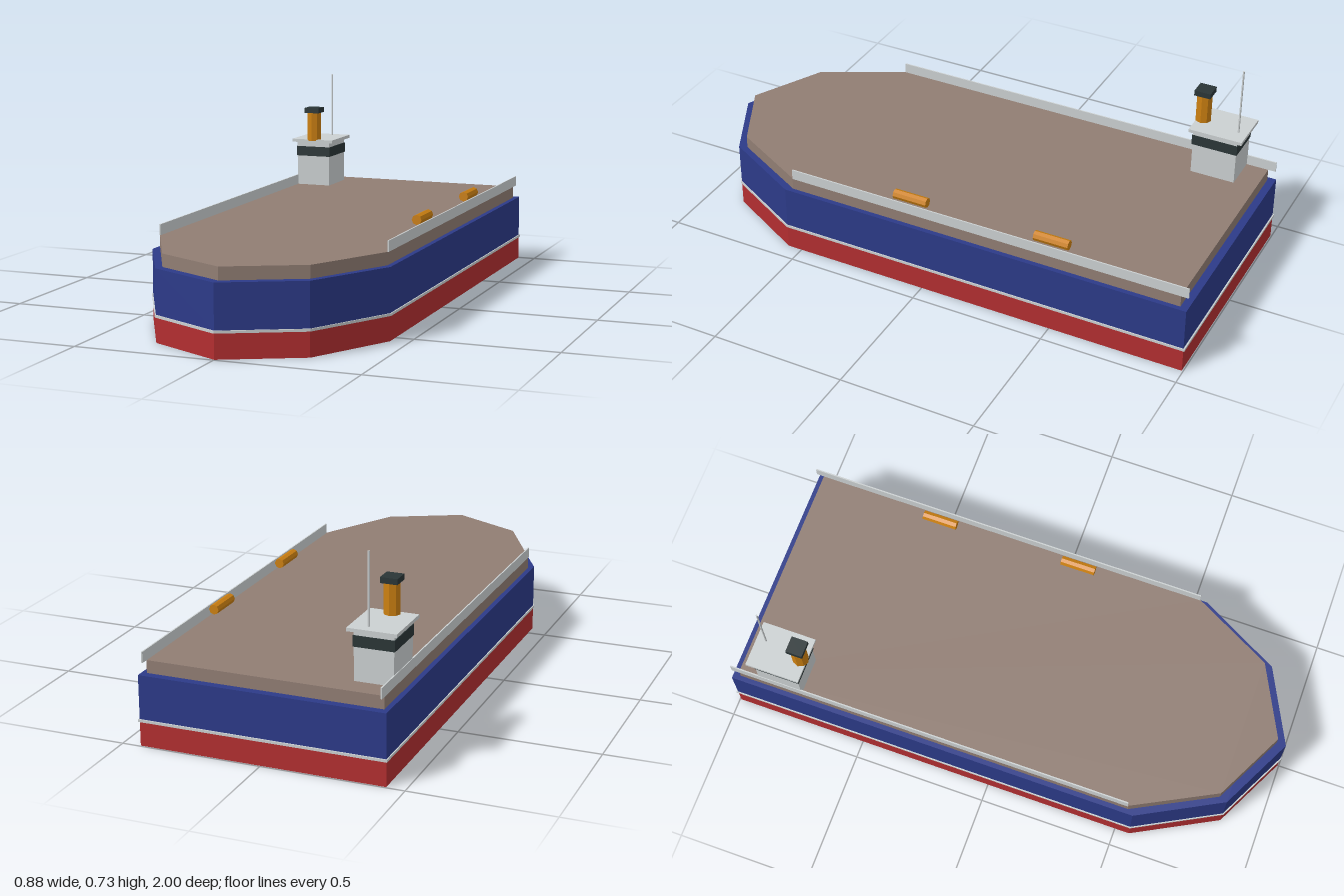
import * as THREE from 'three';

export function createModel() {
  const root = new THREE.Group();
  root.name = 'cargoShip';

  const mat = (name, color) => {
    const m = new THREE.MeshStandardMaterial({ color, flatShading: true });
    m.name = name;
    return m;
  };
  const red = mat('hullRed', 0xb22e30);
  const blue = mat('hullBlue', 0x2c3a88);
  const brown = mat('deckBrown', 0x907d73);
  const white = mat('paintWhite', 0xcbd0d1);
  const dark = mat('darkGrey', 0x2a3536);
  const orange = mat('funnelOrange', 0xcc8011);

  const add = (name, geometry, material, x, y, z) => {
    const mesh = new THREE.Mesh(geometry, material);
    mesh.name = name;
    mesh.position.set(x, y, z);
    root.add(mesh);
    return mesh;
  };

  // Box given by its ranges along x, y and z
  const box = (name, material, [x0, x1], [y0, y1], [z0, z1]) =>
    add(name, new THREE.BoxGeometry(x1 - x0, y1 - y0, z1 - z0), material,
      (x0 + x1) / 2, (y0 + y1) / 2, (z0 + z1) / 2);

  // Slab with the ship's plan outline: flat stern, two-step pointed bow
  const slab = (name, material, y0, y1, o) => {
    const right = [[o.beam, o.stern], [o.beam, o.shoulder], [o.cheekX, o.cheekZ], [0, o.bow]];
    const left = right.slice(0, 3).reverse().map(([x, z]) => [-x, z]);
    const shape = new THREE.Shape([...right, ...left].map(([x, z]) => new THREE.Vector2(x, -z)));
    const geometry = new THREE.ExtrudeGeometry(shape, { depth: y1 - y0, bevelEnabled: false });
    geometry.rotateX(-Math.PI / 2);
    return add(name, geometry, material, 0, y0, 0);
  };

  // Hull layers
  const hull = { beam: 0.435, stern: -0.995, shoulder: 0.555, cheekX: 0.273, cheekZ: 0.858, bow: 0.995 };
  const band = { beam: 0.439, stern: -1, shoulder: 0.556, cheekX: 0.275, cheekZ: 0.862, bow: 1 };
  const deck = { beam: 0.417, stern: -0.967, shoulder: 0.532, cheekX: 0.262, cheekZ: 0.828, bow: 0.96 };
  slab('lowerHull', red, 0, 0.086, hull);
  slab('waterlineBand', white, 0.086, 0.095, band);
  slab('upperHull', blue, 0.095, 0.25, hull);
  slab('deck', brown, 0.25, 0.295, deck);

  // Side rails
  for (const side of [-1, 1]) {
    const x = side * 0.418;
    box(side > 0 ? 'leftRail' : 'rightRail', white, [x - 0.0025, x + 0.0025], [0.295, 0.333], [-0.995, 0.53]);
  }

  // Bridge tower
  box('bridge', white, [-0.418, -0.281], [0.295, 0.469], [-0.885, -0.72]);
  box('bridgeWindows', dark, [-0.421, -0.278], [0.412, 0.45], [-0.888, -0.717]);
  box('bridgeRoof', white, [-0.435, -0.264], [0.468, 0.48], [-0.907, -0.707]);

  // Funnel with its square cap, and the mast
  add('funnel', new THREE.CylinderGeometry(0.029, 0.029, 0.113, 8), orange, -0.35, 0.5315, -0.729);
  box('funnelCap', dark, [-0.38, -0.32], [0.588, 0.608], [-0.76, -0.699]);
  add('mast', new THREE.CylinderGeometry(0.0035, 0.0035, 0.25, 6), white, -0.327, 0.605, -0.872);

  // Lifeboats along the left rail
  for (const z of [0.065, -0.48]) {
    const boat = add('lifeboat', new THREE.CylinderGeometry(0.018, 0.018, 0.13, 8), orange, 0.38, 0.334, z);
    boat.rotation.x = Math.PI / 2;
  }

  return root;
}
